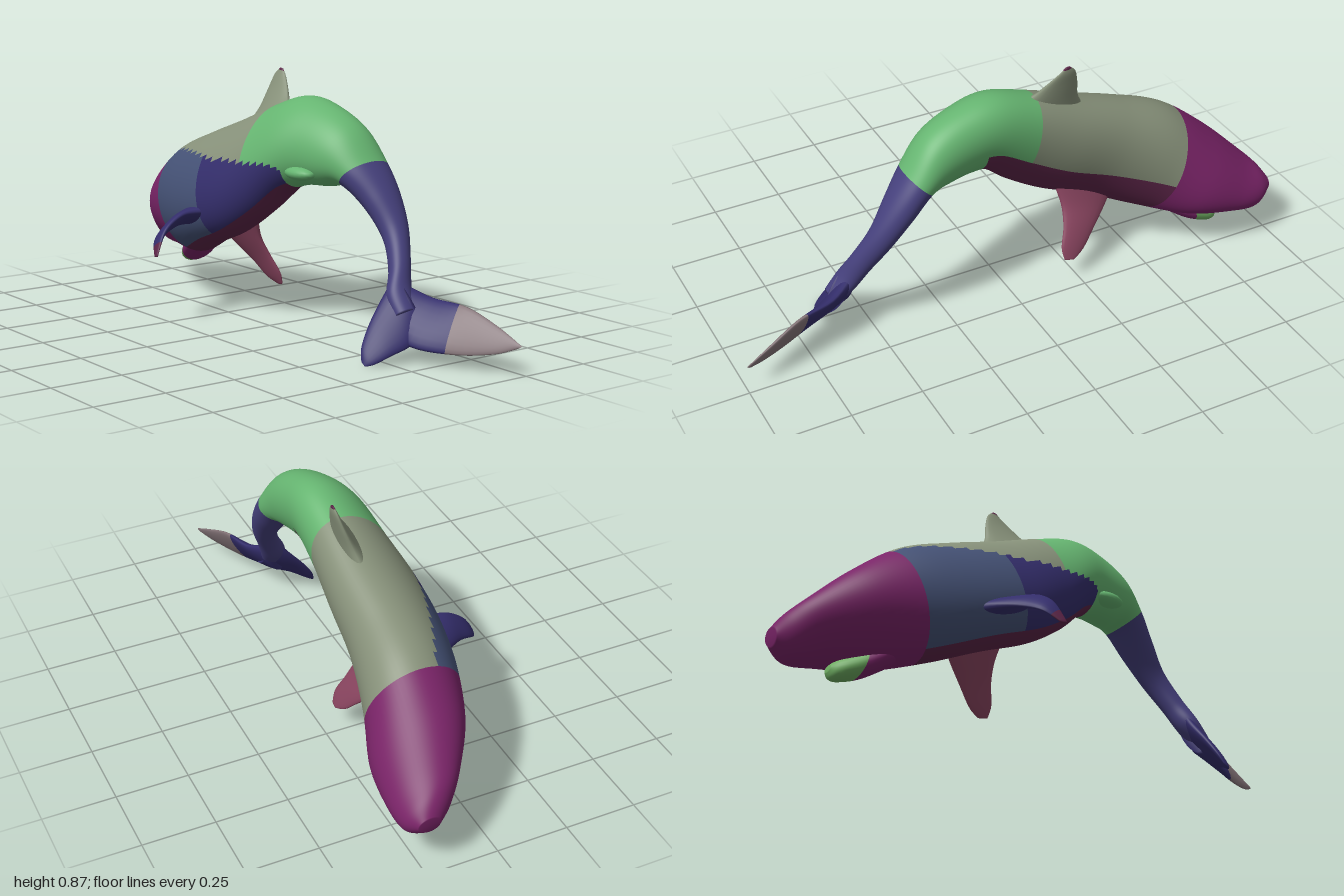
import * as THREE from 'three';

const V = (a) => new THREE.Vector3(...a);
const COLORS = {
  magenta: 0x7a2468, olive: 0x87917a, green: 0x66b571, slate: 0x455276,
  navy: 0x342e6c, plum: 0x5c2548, indigo: 0x45407c, tan: 0x86767a, pink: 0x8a4560, lime: 0x6fae62,
};

// Smooth interpolation of the section list at parameter t (0..n-1)
function sample(sections, t, key) {
  const n = sections.length, i = Math.min(Math.floor(t), n - 2), f = t - i;
  const p = (k) => sections[Math.max(0, Math.min(n - 1, k))][key];
  const out = new THREE.Vector3();
  for (const ax of ['x', 'y', 'z']) {
    const [a, b, c, d] = [p(i - 1)[ax], p(i)[ax], p(i + 1)[ax], p(i + 2)[ax]];
    out[ax] = b + 0.5 * f * (c - a + f * (2 * a - 5 * b + 4 * c - d + f * (3 * (b - c) + d - a)));
  }
  return out;
}

// Closed elliptical loft through sections {c, h, w}; region(t, angle) names each
// face's patch, and every patch becomes a mesh sharing the same smooth normals
function loft(name, sections, sides, steps, region) {
  const rows = (sections.length - 1) * steps, pos = [], patches = {}, all = [];
  for (let i = 0; i <= rows; i++) {
    const t = i / steps;
    const c = sample(sections, t, 'c'), h = sample(sections, t, 'h'), w = sample(sections, t, 'w');
    for (let j = 0; j < sides; j++) {
      const a = (j / sides) * Math.PI * 2;
      const p = c.clone().addScaledVector(h, Math.cos(a)).addScaledVector(w, Math.sin(a));
      pos.push(p.x, p.y, p.z);
    }
  }
  const first = pos.length / 3, last = first + 1;
  pos.push(...sections[0].c.toArray(), ...sections[sections.length - 1].c.toArray());
  const add = (key, ...idx) => { (patches[key] ??= []).push(...idx); all.push(...idx); };
  for (let j = 0; j < sides; j++) {
    const k = (j + 1) % sides, angle = ((j + 0.5) / sides) * 360, end = rows * sides;
    add(region(0, angle), first, k, j);
    for (let i = 0; i < rows; i++) {
      const a = i * sides + j, b = i * sides + k, c = a + sides, d = b + sides;
      add(region((i + 0.5) / steps, angle), a, b, c, b, d, c);
    }
    add(region(sections.length - 1, angle), last, end + j, end + k);
  }
  const base = new THREE.BufferGeometry();
  base.setAttribute('position', new THREE.Float32BufferAttribute(pos, 3));
  base.setIndex(all);
  base.computeVertexNormals();
  const group = new THREE.Group();
  group.name = name;
  for (const [key, idx] of Object.entries(patches)) {
    const g = new THREE.BufferGeometry();
    g.setAttribute('position', base.attributes.position);
    g.setAttribute('normal', base.attributes.normal);
    g.setIndex(idx);
    const mesh = new THREE.Mesh(g, new THREE.MeshStandardMaterial({ color: COLORS[key] }));
    mesh.name = `${name} ${key}`;
    group.add(mesh);
  }
  return group;
}

// Fin from rows of [leading edge point, trailing edge point, half thickness]
function fin(name, rows, region) {
  const s = rows.map(([l, t, thick]) => {
    const a = V(l), b = V(t);
    return { c: a.clone().add(b).multiplyScalar(0.5), h: a.sub(b).multiplyScalar(0.5), thick };
  });
  s.forEach((q, i) => {
    const d = s[Math.min(i + 1, s.length - 1)].c.clone().sub(s[Math.max(i - 1, 0)].c);
    q.w = d.cross(q.h).normalize().multiplyScalar(q.thick);
  });
  return loft(name, s, 20, 5, region);
}

// Body stations: back x, y, belly x, y, z min, z max, sideways lean of the back
const BODY = [
  [-0.995, 0.225, -0.985, 0.165, -0.275, -0.2, 0],
  [-0.965, 0.27, -0.92, 0.125, -0.305, -0.145, 0.02],
  [-0.91, 0.325, -0.81, 0.135, -0.315, -0.08, 0.035],
  [-0.79, 0.437, -0.66, 0.145, -0.308, 0.01, 0.025],
  [-0.63, 0.558, -0.5, 0.178, -0.265, 0.075, -0.02],
  [-0.45, 0.627, -0.33, 0.24, -0.235, 0.115, -0.05],
  [-0.27, 0.69, -0.17, 0.3, -0.228, 0.122, -0.065],
  [-0.1, 0.755, -0.04, 0.385, -0.22, 0.09, -0.06],
  [0.05, 0.797, 0.06, 0.475, -0.22, 0.055, -0.045],
  [0.18, 0.775, 0.13, 0.505, -0.22, 0.02, -0.03],
  [0.3, 0.715, 0.22, 0.51, -0.225, -0.01, -0.02],
  [0.385, 0.61, 0.29, 0.515, -0.232, -0.045, -0.01],
  [0.45, 0.52, 0.37, 0.445, -0.228, -0.085, 0],
  [0.51, 0.42, 0.45, 0.35, -0.206, -0.108, 0],
  [0.565, 0.32, 0.51, 0.26, -0.168, -0.085, 0],
  [0.605, 0.235, 0.548, 0.19, -0.14, -0.045, 0],
  [0.65, 0.17, 0.6, 0.13, -0.12, -0.04, 0],
];

// Colour patches of the body by station and angle (0 back, 90 near side, 180 belly)
function bodyPatch(t, a) {
  if (t < 3.7) return 'magenta';
  if (t > 11) return 'indigo';
  const back = t > 8.5 || a < 25 + Math.max(0, t - 4) * 22 || a > 260;
  if (back) return t < 7 ? 'olive' : 'green';
  if (a > 150) return 'plum';
  return t < 5.6 ? 'slate' : 'navy';
}

export function createModel() {
  const model = new THREE.Group();
  model.name = 'leaping whale';

  // Arched body from snout to tail stem
  const sections = BODY.map(([tx, ty, bx, by, z0, z1, lean]) => {
    const half = (z1 - z0) / 2;
    return {
      c: V([(tx + bx) / 2, (ty + by) / 2, (z0 + z1) / 2]),
      h: V([(tx - bx) / 2, (ty - by) / 2, lean]),
      w: V([0, 0, Math.sqrt(half * half - lean * lean)]),
    };
  });
  model.add(loft('body', sections, 64, 8, bodyPatch));

  // Lower jaw, hanging slightly open
  const jaw = [[-0.55, 0.235, -0.12, 0.05, 0.07], [-0.67, 0.165, -0.165, 0.055, 0.075],
    [-0.745, 0.132, -0.19, 0.046, 0.06], [-0.782, 0.122, -0.2, 0.034, 0.042], [-0.8, 0.122, -0.205, 0.012, 0.02]];
  model.add(loft('lowerJaw', jaw.map(([x, y, z, h, w]) => (
    { c: V([x, y, z]), h: V([0.2 * h, h, 0]), w: V([0, 0, -w]) })), 24, 5,
  (t) => (t < 1.5 ? 'magenta' : 'lime')));

  // Small fold on the near flank
  const fold = new THREE.Mesh(new THREE.SphereGeometry(1, 20, 12),
    new THREE.MeshStandardMaterial({ color: COLORS.green }));
  fold.name = 'flankFold';
  fold.scale.set(0.07, 0.025, 0.04);
  fold.position.set(0.16, 0.555, -0.008);
  model.add(fold);

  // Dorsal fin
  model.add(fin('dorsalFin', [
    [[-0.3, 0.65, -0.125], [-0.04, 0.73, -0.125], 0.035],
    [[-0.258, 0.72, -0.146], [-0.09, 0.765, -0.15], 0.024],
    [[-0.24, 0.79, -0.17], [-0.125, 0.805, -0.17], 0.014],
    [[-0.222, 0.845, -0.186], [-0.158, 0.842, -0.186], 0.008],
    [[-0.197, 0.87, -0.191], [-0.18, 0.866, -0.191], 0.003],
  ], (t) => (t > 3.6 ? 'plum' : 'olive')));

  // Pectoral fins
  model.add(fin('leftFlipper', [
    [[-0.45, 0.33, 0.05], [-0.21, 0.38, 0.05], 0.04],
    [[-0.385, 0.325, 0.14], [-0.245, 0.382, 0.14], 0.024],
    [[-0.335, 0.31, 0.21], [-0.25, 0.372, 0.2], 0.016],
    [[-0.3, 0.28, 0.275], [-0.245, 0.325, 0.265], 0.01],
    [[-0.25, 0.24, 0.307], [-0.228, 0.245, 0.31], 0.004],
  ], (t) => (t > 3.4 ? 'plum' : 'navy')));
  model.add(fin('rightFlipper', [
    [[-0.46, 0.3, -0.09], [-0.2, 0.36, -0.09], 0.035],
    [[-0.395, 0.228, -0.13], [-0.22, 0.27, -0.12], 0.022],
    [[-0.33, 0.165, -0.165], [-0.212, 0.2, -0.155], 0.015],
    [[-0.275, 0.108, -0.19], [-0.19, 0.135, -0.185], 0.01],
    [[-0.23, 0.085, -0.205], [-0.195, 0.09, -0.2], 0.004],
  ], () => 'pink'));

  // Tail flukes
  model.add(fin('rightFluke', [
    [[0.575, 0.235, -0.12], [0.6, 0.1, -0.05], 0.03],
    [[0.66, 0.2, -0.165], [0.685, 0.06, -0.05], 0.022],
    [[0.785, 0.19, -0.195], [0.81, 0.05, -0.12], 0.014],
    [[0.9, 0.145, -0.222], [0.92, 0.065, -0.185], 0.009],
    [[0.995, 0.098, -0.235], [0.98, 0.088, -0.228], 0.003],
  ], (t) => (t > 1.7 ? 'tan' : 'navy')));
  model.add(fin('leftFluke', [
    [[0.555, 0.26, -0.09], [0.66, 0.12, -0.12], 0.03],
    [[0.553, 0.195, -0.04], [0.68, 0.065, -0.06], 0.024],
    [[0.565, 0.12, 0.022], [0.662, 0.035, 0.01], 0.016],
    [[0.582, 0.055, 0.066], [0.638, 0.01, 0.058], 0.01],
    [[0.6, 0.015, 0.08], [0.618, 0.003, 0.08], 0.003],
  ], () => 'navy'));

  return model;
}
